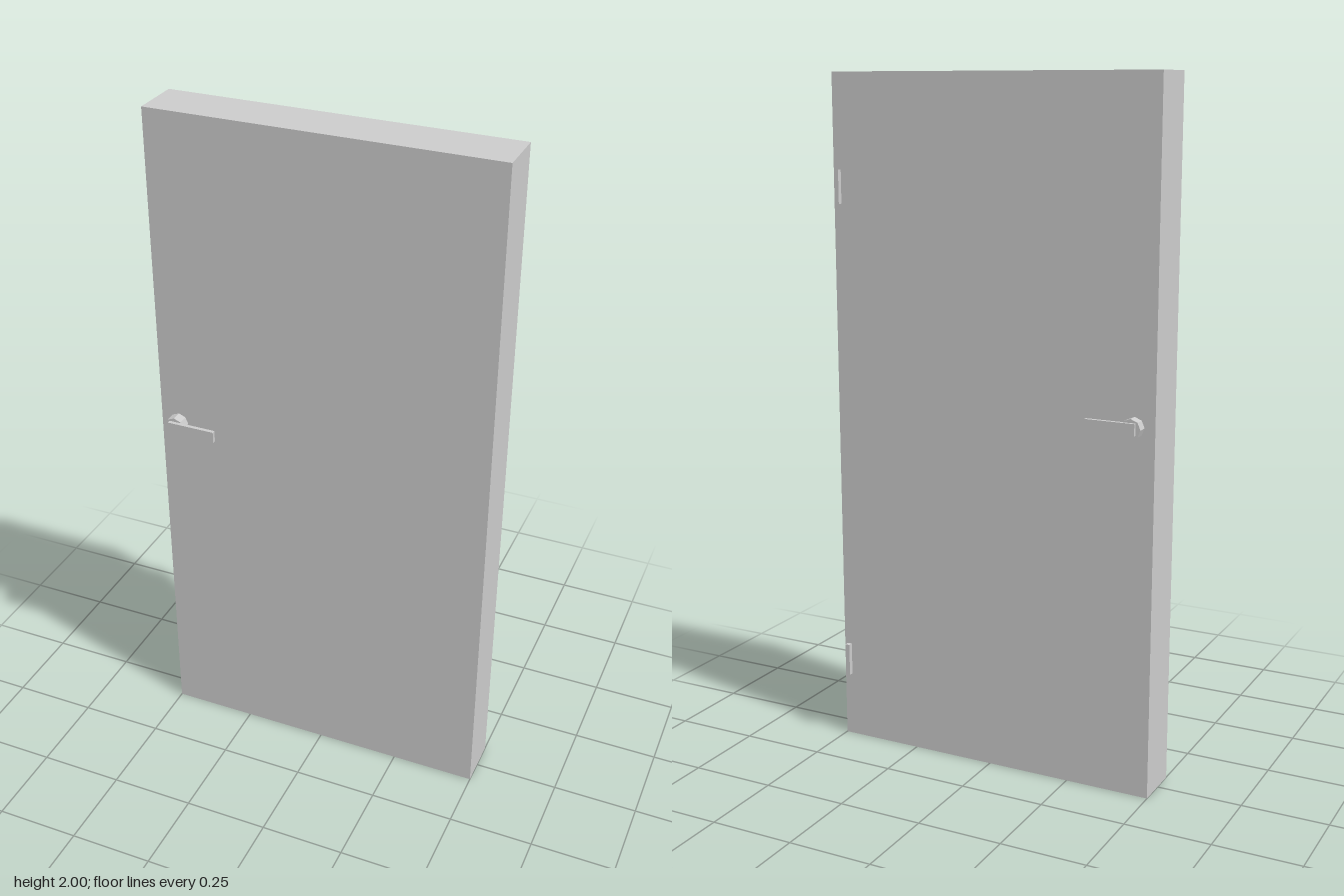
import * as THREE from 'three';

const material = new THREE.MeshStandardMaterial({ color: 0xcccccc, flatShading: true });

function addPart(parent, name, geometry, x, y, z) {
  const mesh = new THREE.Mesh(geometry, material);
  mesh.name = name;
  mesh.position.set(x, y, z);
  parent.add(mesh);
  return mesh;
}

// Octagonal rose with a flat lever; side is +1 for the front, -1 for the back
function createHandle(name, side, roseZ) {
  const handle = new THREE.Group();
  handle.name = name;
  const rose = addPart(handle, 'rose', new THREE.CylinderGeometry(0.029, 0.029, 0.031, 8), -0.44, 1.067, roseZ);
  rose.rotation.x = Math.PI / 2;
  addPart(handle, 'lever', new THREE.BoxGeometry(0.145, 0.034, 0.011), -0.3825, 1.068, side * 0.1145);
  return handle;
}

export function createModel() {
  const door = new THREE.Group();
  door.name = 'door';

  // Plain slab
  addPart(door, 'doorPanel', new THREE.BoxGeometry(1, 2, 0.15), 0, 1, -0.006);

  // Handles on both faces
  door.add(createHandle('frontHandle', 1, 0.0935));
  door.add(createHandle('backHandle', -1, -0.0955));

  // Hinge pins on the back, on the side away from the handles
  for (const [name, y] of [['lowerHinge', 0.248], ['upperHinge', 1.68]]) {
    addPart(door, name, new THREE.BoxGeometry(0.014, 0.097, 0.014), 0.479, y, -0.095);
  }
  return door;
}
